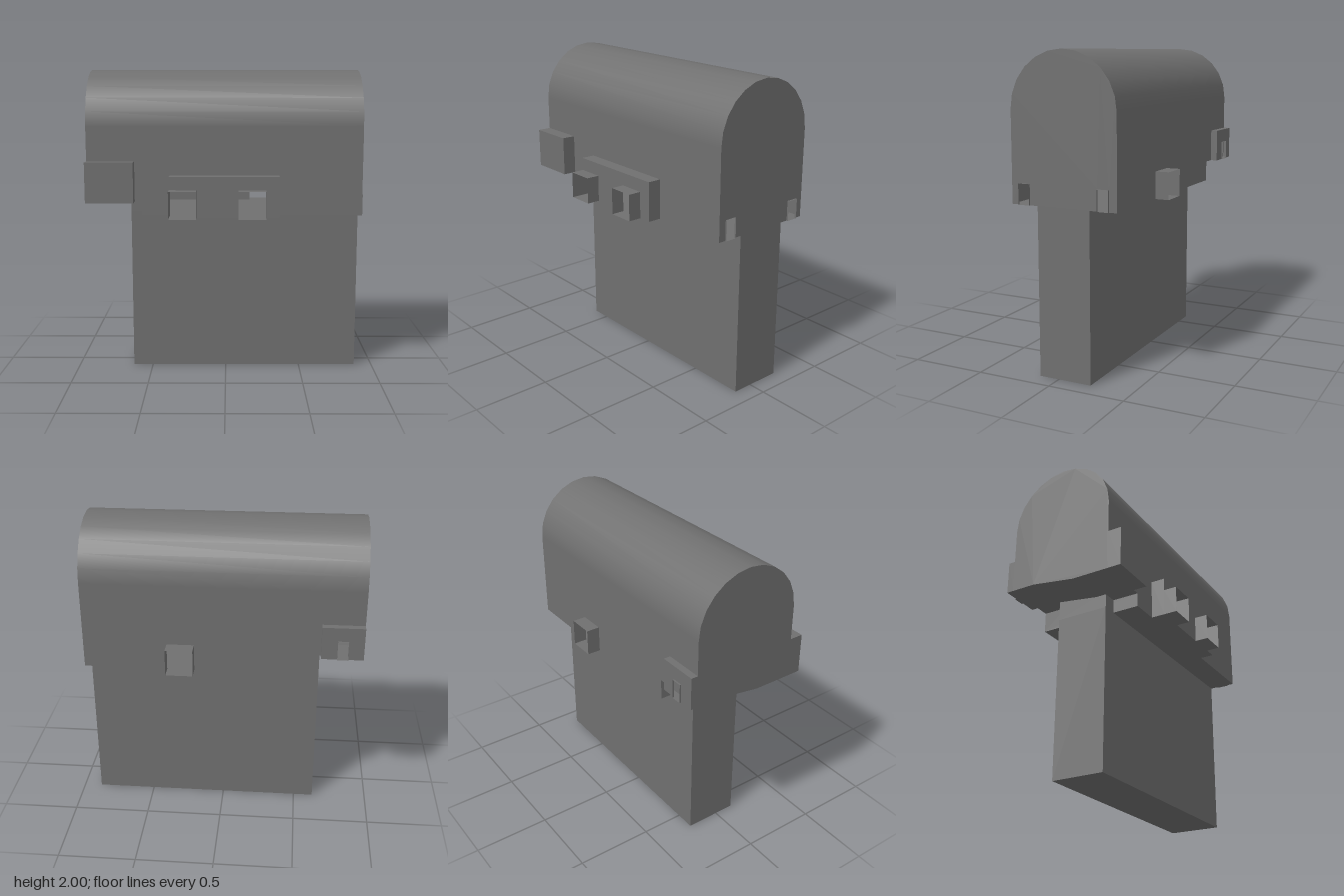
import * as THREE from 'three';

const material = new THREE.MeshStandardMaterial({ color: 0x707070, side: THREE.DoubleSide });

// Turns triangles given as (a, b, depth) into a mesh; axis 'z' maps a to x, axis 'x' maps a to z.
function place(name, tris, axis, flip) {
  const reverse = (axis === 'x') !== flip;
  const pos = [];
  for (const [p, q, r] of tris) {
    for (const [a, b, c] of reverse ? [p, r, q] : [p, q, r]) {
      pos.push(...(axis === 'x' ? [c, b, a] : [a, b, c]));
    }
  }
  const geo = new THREE.BufferGeometry();
  geo.setAttribute('position', new THREE.Float32BufferAttribute(pos, 3));
  geo.computeVertexNormals();
  const mesh = new THREE.Mesh(geo, material);
  mesh.name = name;
  return mesh;
}

// Flat sheet at a depth along the axis, facing the positive or negative way
function sheet(name, pts, axis, depth, facing) {
  const contour = pts.map(([a, b]) => new THREE.Vector2(a, b));
  if (THREE.ShapeUtils.isClockWise(contour)) contour.reverse();
  const tris = THREE.ShapeUtils.triangulateShape(contour, [])
    .map((f) => f.map((i) => [contour[i].x, contour[i].y, depth]));
  return place(name, tris, axis, facing < 0);
}

// Walls swept along the axis from a counter-clockwise outline, open at both ends
function sleeve(name, pts, axis, from, to, closed = true) {
  const tris = [];
  const n = closed ? pts.length : pts.length - 1;
  for (let i = 0; i < n; i++) {
    const p = pts[i], q = pts[(i + 1) % pts.length];
    tris.push([[...p, from], [...q, from], [...q, to]], [[...p, from], [...q, to], [...p, to]]);
  }
  return place(name, tris, axis, false);
}

const rect = (a0, a1, b0, b1) => [[a0, b0], [a1, b0], [a1, b1], [a0, b1]];
// Detour of a bottom edge around an opening
const notch = (a0, a1, b0, b1) => [[a0, b0], [a0, b1], [a1, b1], [a1, b0]];

export function createModel() {
  const model = new THREE.Group();
  const L = -0.895, R = 0.882, F = 0.31, B = -0.4;
  const low = 1.07, frontLow = 1.16, backLow = 1.205, spring = 1.645, step = -0.54;
  const portTop = 1.245, plateRight = 0.345;
  const mid = (F + B) / 2, radius = (F - B) / 2;

  // Arched roof, blending smoothly into the side walls
  const roof = new THREE.Mesh(
    new THREE.CylinderGeometry(radius, radius, R - L, 12, 1, true, 0, Math.PI).rotateZ(Math.PI / 2),
    material);
  roof.name = 'archedRoof';
  roof.position.set((L + R) / 2, spring, mid);
  model.add(roof);

  // Roof profile for the end walls, from front to back
  const arch = [];
  for (let i = 0; i <= 12; i++) {
    const t = (i / 12) * Math.PI;
    arch.push([mid + radius * Math.cos(t), spring + radius * Math.sin(t)]);
  }

  // Side walls, open behind the mounting plate and the rear ports
  model.add(sheet('frontWall', [[L, frontLow], [step, frontLow], [step, low],
    ...notch(-0.36, plateRight, low, 1.33), [R, low], [R, spring], [L, spring]], 'z', F, 1));
  model.add(sheet('backWall', [[L, backLow], ...notch(-0.8, -0.73, backLow, 1.33),
    [step, backLow], [step, low], ...notch(0.17, plateRight, low, portTop),
    [R, low], [R, spring], [L, spring]], 'z', B, -1));

  // End walls; the raised underside is stepped across the depth
  const underside = [[B, backLow], [-0.24, backLow], [0.06, frontLow], [F, frontLow]];
  model.add(sheet('raisedEndWall', [...underside, ...arch], 'x', L, -1));
  const ports = [[-0.35, -0.275], [0.185, 0.26]];
  model.add(sheet('portEndWall', [[B, low],
    ...ports.flatMap(([a, b]) => notch(a, b, low, 1.2)), [F, low], ...arch], 'x', R, 1));
  for (const [a, b] of ports) {
    model.add(sleeve('endPort', rect(a, b, low, 1.2), 'x', R, 0.893));
  }

  // Underside and its step
  model.add(sleeve('raisedUnderside', underside, 'x', L, step, false));
  model.add(sheet('undersideStep', [[B, low], [F, low], ...[...underside].reverse()], 'x', step, -1));
  model.add(sleeve('underside', [[B, low], [F, low]], 'x', step, R, false));

  // Slab-shaped stem, with a raised edge meeting the higher underside
  const stem = new THREE.Mesh(new THREE.BoxGeometry(R + 0.63, low, 0.353), material);
  stem.name = 'stem';
  stem.position.set((R - 0.63) / 2, low / 2, mid);
  model.add(stem);
  const riser = [[-0.2215, low], [0.1315, low], [0.1315, frontLow], [0.06, frontLow], [-0.2215, 1.2]];
  model.add(sleeve('stemRiser', riser, 'x', -0.63, step));
  model.add(sheet('stemRiserEnd', riser, 'x', -0.63, -1));

  // Front corner block
  const block = rect(L, -0.587, frontLow, 1.42);
  model.add(sleeve('frontCornerBlock', block, 'z', F, 0.4));
  model.add(sheet('frontCornerBlockFace', block, 'z', 0.4, 1));

  // Back corner block with a small open port
  model.add(sleeve('backCornerBlock', rect(L, -0.63, backLow, 1.42), 'z', -0.445, B));
  model.add(sheet('backCornerBlockFace', [[L, backLow], ...notch(-0.8, -0.73, backLow, 1.33),
    [-0.63, backLow], [-0.63, 1.42], [L, 1.42]], 'z', -0.445, -1));
  model.add(sleeve('backCornerPort', rect(-0.8, -0.73, backLow, 1.33), 'z', -0.455, -0.445));

  // Front mounting plate with two open ports
  model.add(sleeve('mountingPlate', rect(-0.36, plateRight, low, 1.33), 'z', F, 0.4));
  model.add(sheet('mountingPlateFace', [[-0.36, portTop], [-0.185, portTop], [-0.185, low],
    ...notch(0.083, 0.258, low, portTop), [plateRight, low], [plateRight, 1.33], [-0.36, 1.33]],
  'z', 0.4, 1));
  for (const x of [-0.36, 0.083]) {
    model.add(sleeve('frontPort', rect(x, x + 0.175, low, portTop), 'z', 0.4, 0.488));
  }

  // Open port on the back
  model.add(sleeve('backPort', rect(0.17, plateRight, low, portTop), 'z', -0.49, B));
  return model;
}
